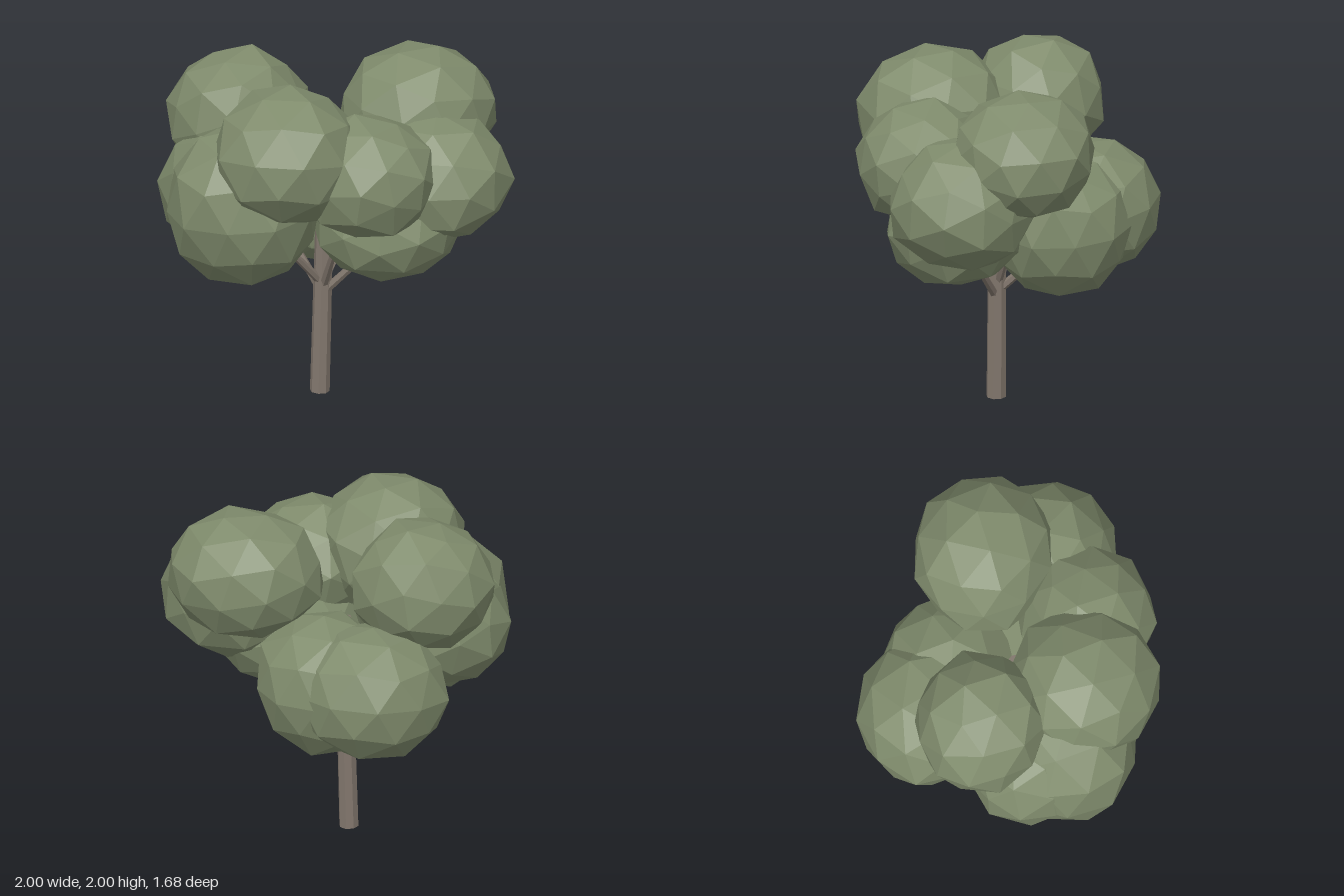
import * as THREE from 'three';

// Crown clumps: centre x, y, z, half sizes x, y, z
const CLUMPS = [
  [0.41, 1.64, -0.28, 0.46, 0.37, 0.42],   // rear right top
  [-0.58, 1.62, -0.10, 0.42, 0.39, 0.39],  // left top
  [-0.23, 1.60, 0.41, 0.44, 0.41, 0.44],   // front top
  [-0.49, 1.27, 0.36, 0.45, 0.48, 0.43],   // front left, low
  [0.21, 1.48, 0.35, 0.41, 0.36, 0.40],    // front right
  [0.56, 1.37, 0.04, 0.43, 0.38, 0.42],    // right side
  [0.29, 1.13, 0.15, 0.45, 0.33, 0.40],    // lower right
  [-0.09, 1.07, -0.37, 0.42, 0.42, 0.41],  // lower back
  [-0.37, 1.09, -0.45, 0.46, 0.39, 0.42],  // back left
  [-0.59, 1.29, 0.18, 0.41, 0.37, 0.40],   // left side
];

// Branch ends, fanning out from the fork of the trunk
const BRANCHES = [
  [0.30, 1.02, 0.08], [0.05, 1.10, 0.28], [-0.34, 1.05, 0.26],
  [-0.36, 1.05, -0.04], [-0.10, 0.98, -0.36], [0.18, 1.25, -0.20],
];

// Repeatable small variation from a direction and a seed
function noise(x, y, z, seed) {
  const s = Math.sin(x * 12.99 + y * 78.23 + z * 37.72 + seed * 5.37) * 437.58;
  return s - Math.floor(s);
}

// Faceted, slightly uneven clump fitted to its half sizes
function clumpGeometry(hx, hy, hz, seed) {
  const geo = new THREE.IcosahedronGeometry(1, 1);
  geo.rotateX(seed * 1.3).rotateY(seed * 2.1);
  const pos = geo.attributes.position;
  const r = (n) => Math.round(n * 100) / 100;
  for (let i = 0; i < pos.count; i++) {
    const v = new THREE.Vector3().fromBufferAttribute(pos, i);
    v.multiplyScalar(0.94 + 0.09 * noise(r(v.x), r(v.y), r(v.z), seed));
    pos.setXYZ(i, v.x * hx, v.y * hy, v.z * hz);
  }
  geo.computeVertexNormals();
  return geo;
}

// Tapered round limb between two points
function limb(from, to, r0, r1, sides, material) {
  const a = new THREE.Vector3(...from), b = new THREE.Vector3(...to);
  const dir = b.clone().sub(a);
  const mesh = new THREE.Mesh(new THREE.CylinderGeometry(r1, r0, dir.length(), sides), material);
  mesh.position.copy(a).add(b).multiplyScalar(0.5);
  mesh.quaternion.setFromUnitVectors(new THREE.Vector3(0, 1, 0), dir.normalize());
  return mesh;
}

export function createModel() {
  const tree = new THREE.Group();
  tree.name = 'tree';
  const leaf = new THREE.MeshStandardMaterial({ color: 0x7f8b6c, flatShading: true });
  leaf.name = 'leaf green';
  const bark = new THREE.MeshStandardMaterial({ color: 0x82776d, flatShading: true });
  bark.name = 'bark brown';

  // Trunk, leaning slightly
  const trunk = limb([-0.105, 0.003, 0.015], [-0.075, 1.3, 0.0], 0.056, 0.05, 8, bark);
  trunk.name = 'trunk';
  tree.add(trunk);

  // Branches
  const branches = new THREE.Group();
  branches.name = 'branches';
  BRANCHES.forEach((end, i) => {
    const start = [-0.09, 0.6 + 0.03 * (i % 3), 0.01];
    const branch = limb(start, end, 0.026, 0.016, 6, bark);
    branch.name = 'branch';
    branches.add(branch);
  });
  tree.add(branches);

  // Crown
  const crown = new THREE.Group();
  crown.name = 'crown';
  CLUMPS.forEach(([x, y, z, hx, hy, hz], i) => {
    const clump = new THREE.Mesh(clumpGeometry(hx, hy, hz, i + 1), leaf);
    clump.name = 'leafClump';
    clump.position.set(x, y, z);
    crown.add(clump);
  });
  tree.add(crown);
  return tree;
}
